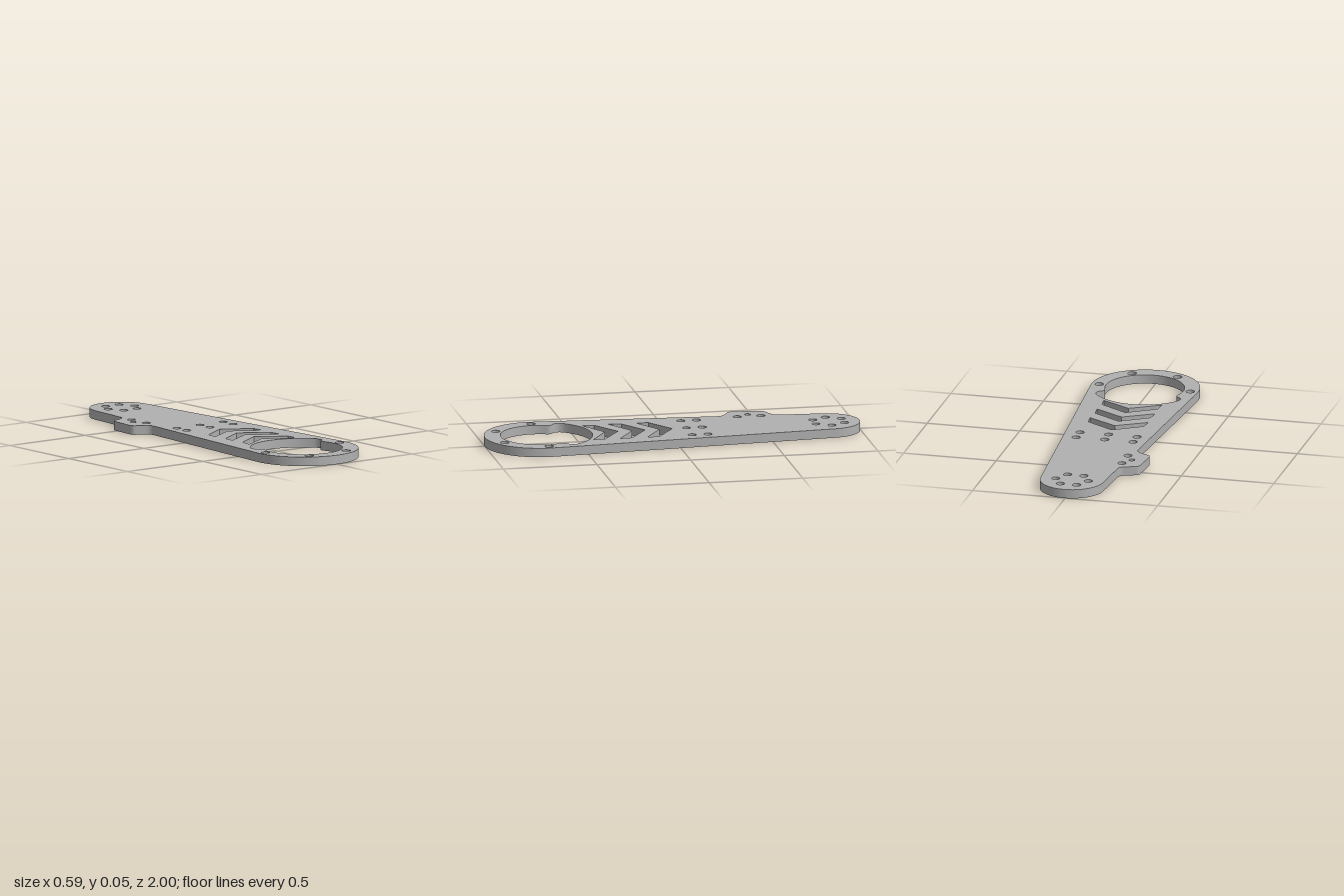
import * as THREE from 'three';
import { toCreasedNormals } from 'three/addons/utils/BufferGeometryUtils.js';

const THICK = 0.048;
const CX = 0.004; // symmetry line of the arm

// Shapes are drawn in plan: shape x = x, shape y = z.
function circleHole(x, z, r) {
  const p = new THREE.Path();
  p.absarc(x, z, r, 0, Math.PI * 2, true);
  return p;
}

// Tapered arm with a round end at each side and a lug on the right edge
function outline() {
  const s = new THREE.Shape();
  const t = 0.077; // taper angle of the long edges
  s.absarc(CX, 0.712, 0.288, -t, Math.PI + t, false);
  s.lineTo(-0.212, -0.28);
  s.quadraticCurveTo(-0.208, -0.305, -0.232, -0.322);
  s.lineTo(-0.28, -0.35);
  s.quadraticCurveTo(-0.297, -0.358, -0.297, -0.378);
  s.lineTo(-0.285, -0.522);
  s.quadraticCurveTo(-0.283, -0.54, -0.265, -0.547);
  s.lineTo(-0.207, -0.57);
  s.quadraticCurveTo(-0.185, -0.58, -0.182, -0.605);
  s.absarc(CX, -0.83, 0.17, Math.PI + t, Math.PI * 2 - t, false);
  s.closePath();
  return s;
}

// Large ring opening: wider back arc ending in two rounded notches
function ringOpening() {
  const p = new THREE.Path();
  const cz = 0.705, r = 0.209, R = 0.275;
  const a = Math.asin(0.07 / r), b = Math.asin(0.165 / R);
  p.absarc(CX, cz, r, -a, Math.PI + a, false);
  p.quadraticCurveTo(CX - 0.19, 0.612, CX - 0.2, 0.603);
  p.bezierCurveTo(CX - 0.222, 0.597, CX - 0.236, 0.57, CX - 0.22, cz - 0.165);
  p.absarc(CX, cz, R, Math.PI + b, Math.PI * 2 - b, false);
  p.bezierCurveTo(CX + 0.236, 0.57, CX + 0.222, 0.597, CX + 0.2, 0.603);
  p.quadraticCurveTo(CX + 0.19, 0.612, CX + r * Math.cos(a), cz - 0.07);
  return p;
}

// V-shaped slot pointing to the back
function chevron(z) {
  return new THREE.Path([
    [0, 0], [0.15, 0.097], [0.157, 0.163], [0, 0.069], [-0.157, 0.163], [-0.15, 0.097],
  ].map(([x, dz]) => new THREE.Vector2(CX + x, z + dz)));
}

export function createModel() {
  const grey = new THREE.MeshStandardMaterial({ color: 0xb0b0b0 });
  grey.name = 'grey metal';

  const shape = outline();
  shape.holes.push(ringOpening());
  for (let i = 0; i < 3; i++) shape.holes.push(chevron(i * 0.145));

  // Screw holes around the ring
  for (let i = 0; i < 4; i++) {
    const a = i * Math.PI / 3;
    shape.holes.push(circleHole(CX + 0.246 * Math.cos(a), 0.705 + 0.246 * Math.sin(a), 0.023));
  }
  // Hexagon of holes in the narrow end
  for (let i = 0; i < 6; i++) {
    const a = i * Math.PI / 3;
    shape.holes.push(circleHole(CX + 0.088 * Math.cos(a), -0.835 + 0.088 * Math.sin(a), 0.022));
  }
  // Two rows of three holes in the middle
  for (const z of [-0.161, -0.077])
    for (const x of [-0.154, 0, 0.154]) shape.holes.push(circleHole(x, z, 0.022));
  // Lug holes
  for (const [x, z, r] of [[-0.183, -0.51, 0.022], [-0.22, -0.447, 0.016], [-0.183, -0.384, 0.022]])
    shape.holes.push(circleHole(x, z, r));

  let geo = new THREE.ExtrudeGeometry(shape, { depth: THICK, bevelEnabled: false, curveSegments: 32 });
  geo.rotateX(Math.PI / 2);
  geo.translate(0, THICK, 0);
  geo = toCreasedNormals(geo, 0.5);

  const plate = new THREE.Mesh(geo, grey);
  plate.name = 'armPlate';
  const group = new THREE.Group();
  group.name = 'mountingArm';
  group.add(plate);
  return group;
}
